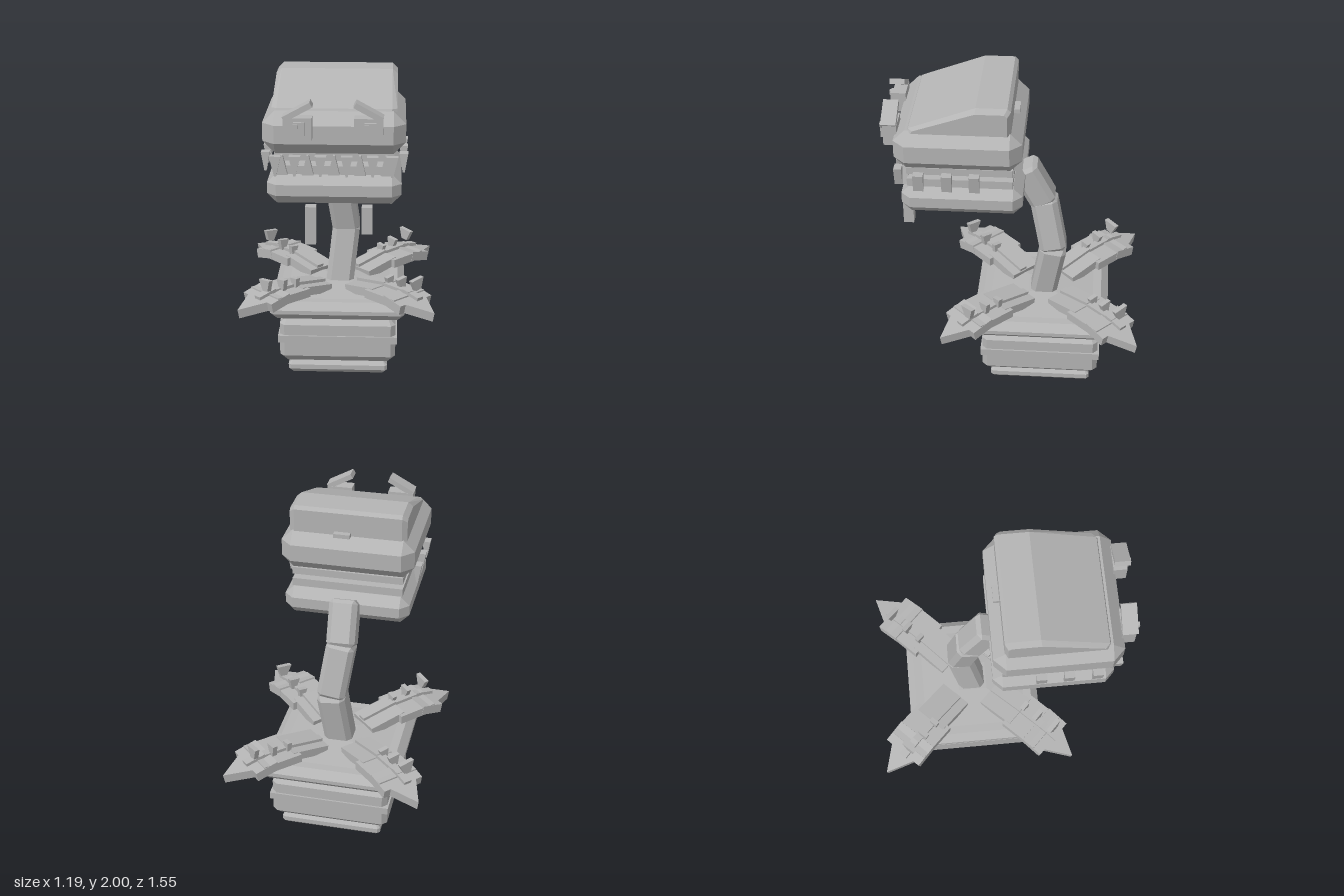
import * as THREE from 'three';
import { ConvexGeometry } from 'three/addons/geometries/ConvexGeometry.js';

const V = (x, y, z) => new THREE.Vector3(x, y, z);
const SIGNS = [-1, 1];

// Box with chamfered rims (c) and upright corners (k)
function chamferBox(w, h, d, c, k = c) {
  const p = [];
  for (const x of SIGNS) for (const y of SIGNS) for (const z of SIGNS) {
    p.push(V(x * w / 2, y * (h / 2 - c), z * (d / 2 - k)));
    p.push(V(x * (w / 2 - k), y * (h / 2 - c), z * d / 2));
    p.push(V(x * (w / 2 - c), y * h / 2, z * (d / 2 - c)));
  }
  return new ConvexGeometry(p);
}

// Wedge with different widths at its bottom and top
function wedge(bottom, top, h, d) {
  const p = [];
  for (const x of SIGNS) for (const z of SIGNS) {
    p.push(V(x * bottom / 2, -h / 2, z * d / 2), V(x * top / 2, h / 2, z * d / 2));
  }
  return new ConvexGeometry(p);
}

export function createModel() {
  const model = new THREE.Group();
  const grey = new THREE.MeshStandardMaterial({ color: 0xb4b4b4 });
  grey.name = 'plain grey';

  function add(name, geometry, x, y, z, parent = model) {
    const mesh = new THREE.Mesh(geometry, grey);
    mesh.name = name;
    mesh.position.set(x, y, z);
    parent.add(mesh);
    return mesh;
  }
  const box = (name, w, h, d, x, y, z, parent) =>
    add(name, new THREE.BoxGeometry(w, h, d), x, y, z, parent);

  // Pot
  const potZ = -0.18;
  add('potBase', chamferBox(0.63, 0.09, 0.63, 0.03, 0.015), 0, 0.045, potZ);
  add('potBody', chamferBox(0.73, 0.31, 0.73, 0.05, 0.03), 0, 0.25, potZ);
  box('potBand', 0.75, 0.045, 0.75, 0, 0.2625, potZ);
  add('potRim', chamferBox(0.84, 0.115, 0.84, 0.045, 0.025), 0, 0.4625, potZ);
  const soil = [];
  for (const x of SIGNS) for (const z of SIGNS) {
    soil.push(V(x * 0.34, 0, z * 0.34), V(x * 0.09, 0.03, z * 0.09));
  }
  add('soil', new ConvexGeometry(soil), 0, 0.518, potZ);

  // Leaves: bent segments, pointed tip, vein and thorns, four times around
  const tip = new THREE.Shape([
    [-0.07, -0.135], [0.08, -0.135], [0.08, -0.09], [0.24, 0],
    [0.08, 0.09], [0.08, 0.135], [-0.07, 0.135],
  ].map(([x, y]) => new THREE.Vector2(x, y)));
  const tipGeometry = new THREE.ExtrudeGeometry(tip, { depth: 0.06, bevelEnabled: false });
  tipGeometry.rotateX(Math.PI / 2);
  const segments = [ // name, radius, height, length, width, pitch
    ['leafInner', 0.29, 0.56, 0.25, 0.21, 0.16],
    ['leafMiddle', 0.5, 0.575, 0.26, 0.265, 0.02],
  ];
  const thorns = [[0.65, 0.672, 0.1], [0.52, 0.64, 0.075], [0.415, 0.622, 0.06]];
  for (let i = 0; i < 4; i++) {
    const leaf = new THREE.Group();
    leaf.name = 'leaf';
    leaf.position.z = potZ;
    leaf.rotation.y = Math.PI / 4 + i * Math.PI / 2;
    model.add(leaf);
    for (const [name, r, y, length, width, pitch] of segments) {
      box(name, length, 0.055, width, r, y, 0, leaf).rotation.z = pitch;
      box('leafVein', length, 0.02, 0.05, r, y + 0.037, -0.02, leaf).rotation.z = pitch;
    }
    add('leafTip', tipGeometry, 0.61, 0.6, 0, leaf).rotation.z = -0.21;
    box('leafVein', 0.13, 0.02, 0.05, 0.64, 0.608, -0.02, leaf).rotation.z = -0.18;
    for (const [r, y, width] of thorns) {
      const thorn = add('thorn', wedge(width * 0.45, width, 0.07, 0.03), r, y, -0.042, leaf);
      thorn.rotation.set(0, Math.PI / 2, 0.12);
    }
  }

  // Stem: chamfered segments between joints
  const joints = [V(0, 0.5, -0.18), V(0.042, 0.88, -0.245), V(-0.005, 1.2, -0.18), V(0, 1.43, -0.06)];
  for (let i = 0; i < 3; i++) {
    const dir = joints[i + 1].clone().sub(joints[i]);
    const mid = joints[i].clone().addScaledVector(dir, 0.5);
    const stem = add('stemSegment', chamferBox(0.175, dir.length() + 0.025, 0.165, 0.022, 0.03), mid.x, mid.y, mid.z);
    stem.quaternion.setFromUnitVectors(V(0, 1, 0), dir.normalize());
  }

  // Head
  add('lowerJaw', chamferBox(0.77, 0.175, 0.715, 0.055), 0, 1.3875, 0.29);
  box('lowerGum', 0.68, 0.05, 0.62, 0, 1.5, 0.3);
  box('upperGum', 0.68, 0.045, 0.62, 0, 1.578, 0.3);
  add('upperJaw', chamferBox(0.81, 0.245, 0.745, 0.07), 0, 1.7225, 0.3075);

  // Sloping crown
  const crown = [];
  const profile = [[0.6, 1.835], [0.59, 1.855], [0.24, 1.985], [0.2, 2], [0.02, 2], [0, 1.98], [0, 1.835]];
  for (const [z, y] of profile) for (const s of SIGNS) {
    crown.push(V(s * 0.325, y, z));
    crown.push(V(s * 0.355, 1.835 + (y - 1.835) * 0.84, 0.02 + z * 0.92));
  }
  add('crown', new ConvexGeometry(crown), 0, 0, 0);
  box('crownTab', 0.1, 0.025, 0.04, 0.03, 1.85, -0.015);

  // Teeth
  const upperTooth = wedge(0.012, 0.065, 0.115, 0.045);
  const lowerTooth = wedge(0.065, 0.012, 0.115, 0.035);
  const sideTooth = wedge(0.012, 0.05, 0.11, 0.06);
  for (const x of [-0.33, -0.22, -0.074, 0.074, 0.22, 0.33]) add('upperTooth', upperTooth, x, 1.54, 0.66);
  for (let i = -2; i <= 2; i++) add('lowerTooth', lowerTooth, i * 0.148, 1.535, 0.62);
  for (const s of SIGNS) {
    for (const z of [0.535, 0.37, 0.21]) add('sideTooth', sideTooth, s * 0.395, 1.535, z);
  }

  // Eyes and slanted brows
  for (const s of SIGNS) {
    const x = s * 0.197;
    box('eye', 0.16, 0.125, 0.08, x, 1.773, 0.705);
    box('pupil', 0.065, 0.075, 0.02, x + 0.01, 1.777, 0.755);
    box('eyeGlint', 0.025, 0.025, 0.012, x - 0.01, 1.795, 0.77);
    box('brow', 0.175, 0.032, 0.09, x, 1.872, 0.712).rotation.z = -s * 0.5;
  }

  // Drips under the jaw
  box('drip', 0.062, 0.225, 0.062, -0.133, 1.1825, 0.63);
  box('drip', 0.062, 0.16, 0.062, 0.19, 1.215, 0.63);

  return model;
}
